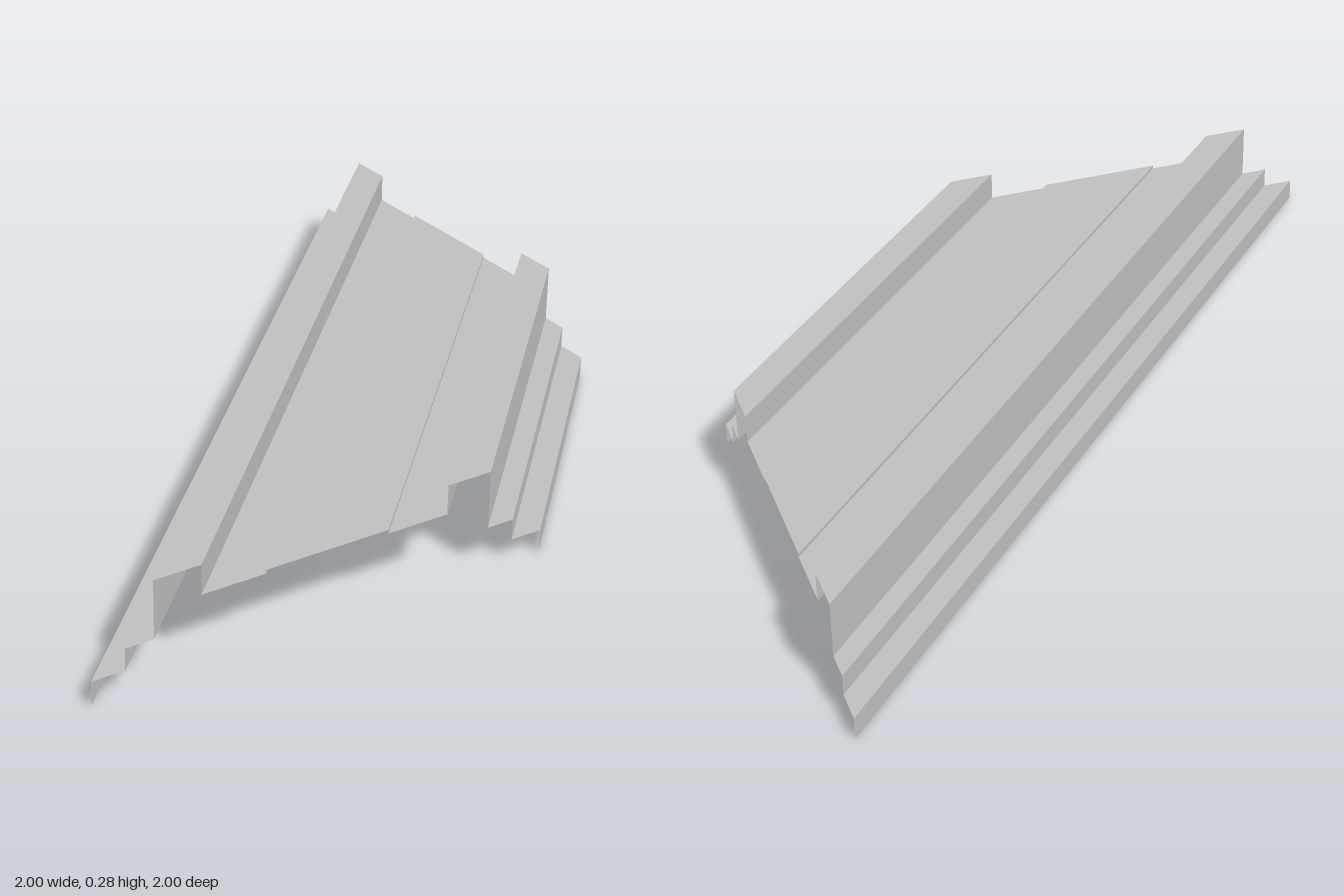
import * as THREE from 'three';

const CENTRE = -0.355; // middle of the cross-section, measured along the z = 1 end

// Sweeps an open cross-section [offset, height] along the diagonal, cut square at z = 1 and x = 1
function sweep(name, profile, material) {
  const pos = [];
  for (let i = 0; i < profile.length - 1; i++) {
    const [u0, y0] = profile[i];
    const [u1, y1] = profile[i + 1];
    const a = [u0, y0, 1], b = [u1, y1, 1], c = [1, y1, u1], d = [1, y0, u0];
    pos.push(...a, ...b, ...c, ...a, ...c, ...d);
  }
  const geometry = new THREE.BufferGeometry();
  geometry.setAttribute('position', new THREE.Float32BufferAttribute(pos, 3));
  geometry.computeVertexNormals();
  const mesh = new THREE.Mesh(geometry, material);
  mesh.name = name;
  return mesh;
}

// Same cross-section on the other side of the centre line
const mirror = (profile) => profile.map(([u, y]) => [2 * CENTRE - u, y]).reverse();

export function createModel() {
  const group = new THREE.Group();
  group.name = 'diagonalBridge';
  const concrete = new THREE.MeshStandardMaterial({ color: 0xc0c0c0, side: THREE.DoubleSide });
  concrete.name = 'concrete grey';

  // Stepped edge, parapet and side lane, repeated on both sides
  const sides = {
    LowerStep: [[-1, 0], [-1, 0.062], [-0.91, 0.062]],
    UpperStep: [[-0.91, 0.062], [-0.91, 0.12], [-0.833, 0.12]],
    Parapet: [[-0.833, 0.12], [-0.833, 0.277], [-0.705, 0.277], [-0.705, 0.19]],
    SideLane: [[-0.705, 0.197], [-0.53, 0.197]],
  };
  for (const [name, profile] of Object.entries(sides)) {
    group.add(sweep('left' + name, mirror(profile), concrete));
    group.add(sweep('right' + name, profile, concrete));
  }

  // Slightly raised middle of the deck
  group.add(sweep('centreDeck', [[-0.53, 0.19], [-0.53, 0.207], [-0.18, 0.207], [-0.18, 0.19]], concrete));
  return group;
}
